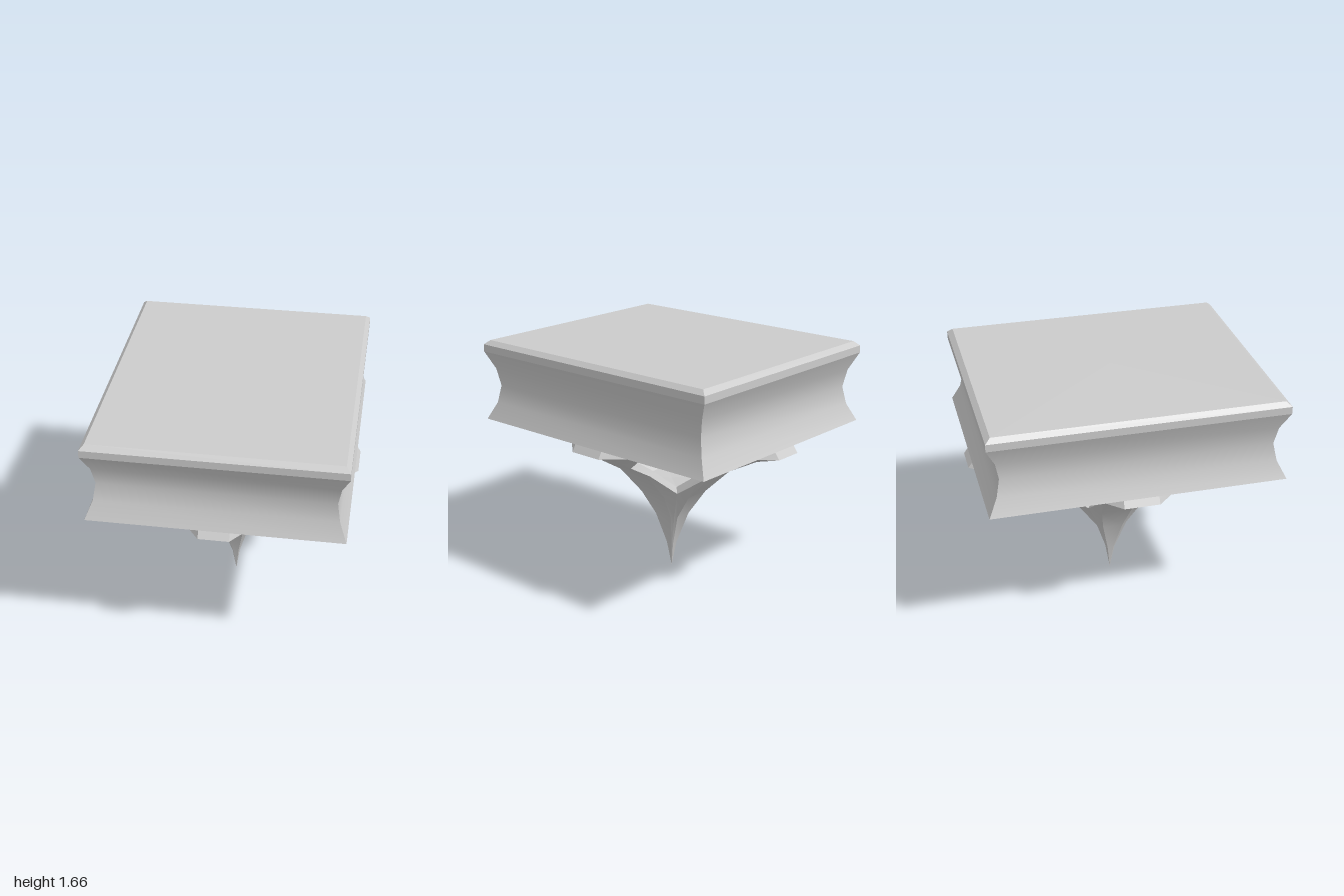
import * as THREE from 'three';
import { toCreasedNormals } from 'three/addons/utils/BufferGeometryUtils.js';

const CREASE = 0.37;

// Square slab with a concave moulding and a bevelled top edge: [half width, y]
function slabGeometry() {
  const profile = [
    [0, 1.1], [0.83, 1.1], [0.78, 1.22], [0.76, 1.34], [0.78, 1.46],
    [0.83, 1.58], [0.83, 1.63], [0.8, 1.66], [0, 1.66],
  ].map(([r, y]) => new THREE.Vector2(r * Math.SQRT2, y));
  return toCreasedNormals(new THREE.LatheGeometry(profile, 4, Math.PI / 4), CREASE);
}

// Curved arm lofted from the pad down to the tip, along +x.
// Each rail point is [outward, y, half width].
function armGeometry() {
  const keel = [
    [0.85, 1.05, 0.1], [0.7, 1.0, 0.1], [0.56, 0.915, 0.1], [0.39, 0.81, 0.1],
    [0.2, 0.6, 0.09], [0.09, 0.41, 0.06], [0.025, 0.18, 0.018], [0, 0, 0],
  ];
  const edge = [
    [0.85, 1.05, 0.1], [0.66, 1.05, 0.27], [0.57, 0.92, 0.12], [0.385, 0.815, 0.12],
    [0.165, 0.64, 0.165], [0.075, 0.41, 0.075], [0.022, 0.18, 0.022], [0, 0, 0],
  ];
  const top = [
    [0.82, 1.1, 0.1], [0.66, 1.1, 0.25], [0.55, 0.98, 0.095], [0.32, 0.83, 0.095],
    [0.145, 0.68, 0.145], [0, 0.67, 0],
  ];
  const side = (rail, s) => rail.map(([u, y, w]) => new THREE.Vector3(u, y, s * w));
  const rails = [side(top, 1), side(edge, 1), side(keel, 1), side(keel, -1), side(edge, -1), side(top, -1)];

  const pos = [];
  const tri = (a, b, c) => {
    if (a.equals(b) || b.equals(c) || a.equals(c)) return;
    for (const p of [a, b, c]) pos.push(p.x, p.y, p.z);
  };
  const quad = (a, b, c, d) => { tri(a, b, c); tri(a, c, d); };

  // Where the arms join, the flanks stop at the crotch and the top runs to the centre
  const spans = [4, 7, 7, 7, 4, 5];
  spans.forEach((count, j) => {
    const p = rails[j], q = rails[(j + 1) % 6];
    for (let i = 0; i < count; i++) quad(p[i], p[i + 1], q[i + 1], q[i]);
  });
  // Outer end of the pad
  quad(rails[0][0], rails[1][0], rails[4][0], rails[5][0]);

  const g = new THREE.BufferGeometry();
  g.setAttribute('position', new THREE.Float32BufferAttribute(pos, 3));
  return toCreasedNormals(g, CREASE);
}

export function createModel() {
  const material = new THREE.MeshStandardMaterial({ color: 0xcccccc });
  const model = new THREE.Group();
  model.name = 'pedestalSlab';

  const slab = new THREE.Mesh(slabGeometry(), material);
  slab.name = 'slab';
  model.add(slab);

  // Four arms meeting in a pointed tip
  const support = new THREE.Group();
  support.name = 'support';
  const arm = armGeometry();
  ['leftArm', 'backArm', 'rightArm', 'frontArm'].forEach((name, k) => {
    const mesh = new THREE.Mesh(arm, material);
    mesh.name = name;
    mesh.rotation.y = k * Math.PI / 2;
    support.add(mesh);
  });
  model.add(support);

  // The whole form is stretched front to back
  for (const part of [slab, support]) part.scale.z = 1 / 0.85;
  return model;
}
